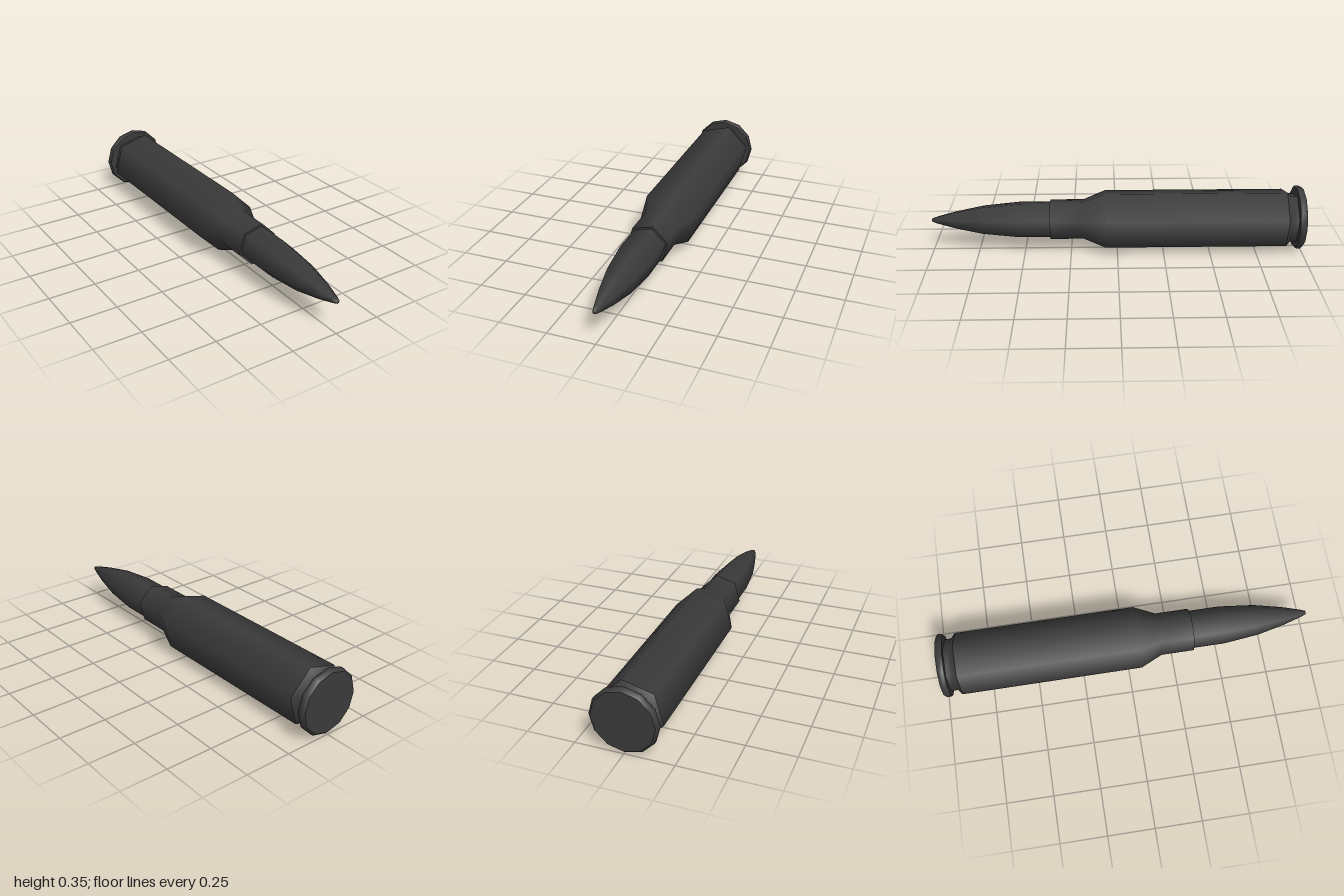
import * as THREE from 'three';

const CENTER_Y = 0.174;

export function createModel() {
  const group = new THREE.Group();
  group.name = 'cartridge';
  const material = new THREE.MeshStandardMaterial({ color: 0x3a3a3a });

  // Turn a profile of [radius, z] points (back to front) around the long axis
  function addTurned(name, profile, sides = 6, phiStart = Math.PI / 4) {
    const points = profile.map(([r, z]) => new THREE.Vector2(r, z));
    const geometry = new THREE.LatheGeometry(points, sides, phiStart);
    geometry.rotateX(Math.PI / 2);
    const mesh = new THREE.Mesh(geometry, material);
    mesh.name = name;
    mesh.position.y = CENTER_Y;
    group.add(mesh);
  }

  // Twelve-sided rim: flat base, bevelled edge, front face
  addTurned('rimBase', [[0, -1], [0.161, -1]], 12, 0);
  addTurned('rimEdge', [[0.161, -1], [0.173, -0.988], [0.173, -0.97], [0.167, -0.962]], 12, 0);
  addTurned('rimFront', [[0.167, -0.962], [0.1, -0.962]], 12, 0);

  // Six-sided case with its groove, shoulder and neck
  addTurned('extractorGroove', [[0.14, -0.963], [0.14, -0.927], [0.166, -0.905]]);
  addTurned('caseBody', [[0.166, -0.905], [0.166, 0.065], [0.114, 0.18], [0.114, 0.36]]);
  addTurned('neckMouth', [[0.114, 0.36], [0.09, 0.36]]);

  // Pointed head seated in the neck
  addTurned('bullet', [
    [0.102, 0.34], [0.102, 0.53], [0.082, 0.72], [0.049, 0.87],
    [0.02, 0.97], [0.01, 0.996], [0, 1],
  ]);

  return group;
}
